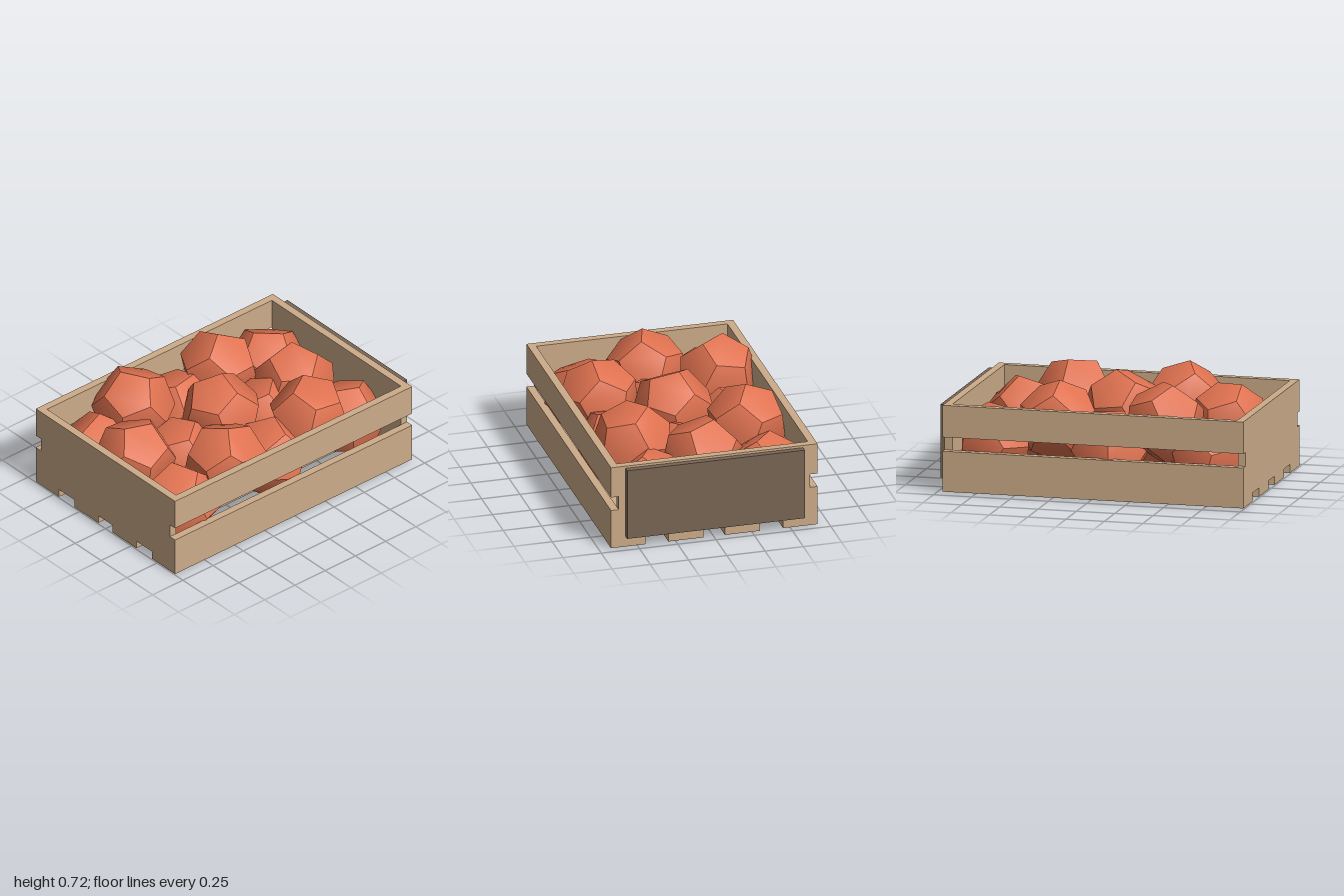
import * as THREE from 'three';

export function createModel() {
  const model = new THREE.Group();
  model.name = 'produceCrate';
  const material = (name, color) => {
    const m = new THREE.MeshStandardMaterial({ color });
    m.name = name;
    return m;
  };
  const wood = material('paleWood', 0xccab89);
  const darkWood = material('darkWood', 0x786555);
  const skin = material('redOrangeSkin', 0xe07250);

  // Box given by its minimum and maximum corners
  const board = (name, mat, a, b) => {
    const mesh = new THREE.Mesh(new THREE.BoxGeometry(b[0] - a[0], b[1] - a[1], b[2] - a[2]), mat);
    mesh.position.set((a[0] + b[0]) / 2, (a[1] + b[1]) / 2, (a[2] + b[2]) / 2);
    mesh.name = name;
    model.add(mesh);
  };

  // Long side boards, two on each side with a gap between
  for (const [side, z0, z1] of [['front', 0.625, 0.675], ['back', -0.675, -0.625]]) {
    board(side + 'LowerBoard', wood, [-1, 0.01, z0], [0.96, 0.27, z1]);
    board(side + 'UpperBoard', wood, [-1, 0.36, z0], [0.96, 0.565, z1]);
  }

  // Solid ends
  board('rightEnd', wood, [-1, 0.065, -0.625], [-0.95, 0.565, 0.625]);
  board('leftEnd', wood, [0.91, 0.065, -0.625], [0.96, 0.565, 0.625]);

  // Floor slats
  for (const [z0, z1] of [[-0.625, -0.45], [-0.3, -0.07], [0.07, 0.3], [0.45, 0.625]]) {
    board('floorSlat', wood, [-1, 0.01, z0], [0.96, 0.065, z1]);
  }

  // Dark plate on one end
  board('endPlate', darkWood, [0.96, 0.08, -0.58], [1, 0.55, 0.58]);

  // Faceted fruit with softened normals
  const fruitShape = new THREE.DodecahedronGeometry(1);
  const pos = fruitShape.attributes.position;
  const nor = fruitShape.attributes.normal;
  const p = new THREE.Vector3();
  const n = new THREE.Vector3();
  for (let i = 0; i < pos.count; i++) {
    p.fromBufferAttribute(pos, i);
    n.fromBufferAttribute(nor, i).lerp(p, 0.4).normalize();
    nor.setXYZ(i, n.x, n.y, n.z);
  }

  // Each fruit: x, y, z, radius, then the lean of its top corner in x and z
  const fruits = [
    // lower layer
    [-0.71, 0.29, 0.38, 0.26, 0.3, 0.4], [-0.71, 0.26, -0.4, 0.26, 0.1, -0.1],
    [-0.06, 0.28, -0.41, 0.26, -0.3, 0.3], [-0.37, 0.28, 0.0, 0.25, 0.4, 0.1],
    [0.32, 0.28, 0.0, 0.25, -0.2, 0.4], [0.04, 0.29, 0.38, 0.26, 0.3, -0.2],
    [0.69, 0.29, -0.41, 0.26, -0.3, -0.2], [0.7, 0.28, 0.34, 0.25, 0.2, 0.3],
    // upper layer
    [-0.73, 0.42, -0.03, 0.26, -0.35, 0], [-0.42, 0.475, -0.41, 0.265, -0.25, -0.2],
    [-0.04, 0.46, -0.01, 0.265, 0.15, -0.12], [0.28, 0.45, -0.4, 0.26, -0.04, 0],
    [0.59, 0.4, -0.03, 0.265, 0.12, -0.25], [-0.34, 0.44, 0.39, 0.265, -0.05, 0.15],
    [0.37, 0.45, 0.37, 0.265, 0.12, -0.38],
  ];
  const corner = new THREE.Vector3(1, 1, 1).normalize();
  const spin = new THREE.Quaternion();
  fruits.forEach(([x, y, z, r, leanX, leanZ], i) => {
    const mesh = new THREE.Mesh(fruitShape, skin);
    mesh.name = 'fruit';
    mesh.position.set(x, y, z);
    mesh.scale.setScalar(r);
    const up = new THREE.Vector3(leanX, 1, leanZ).normalize();
    mesh.quaternion.setFromUnitVectors(corner, up);
    mesh.quaternion.premultiply(spin.setFromAxisAngle(up, i * 1.3));
    model.add(mesh);
  });

  return model;
}
